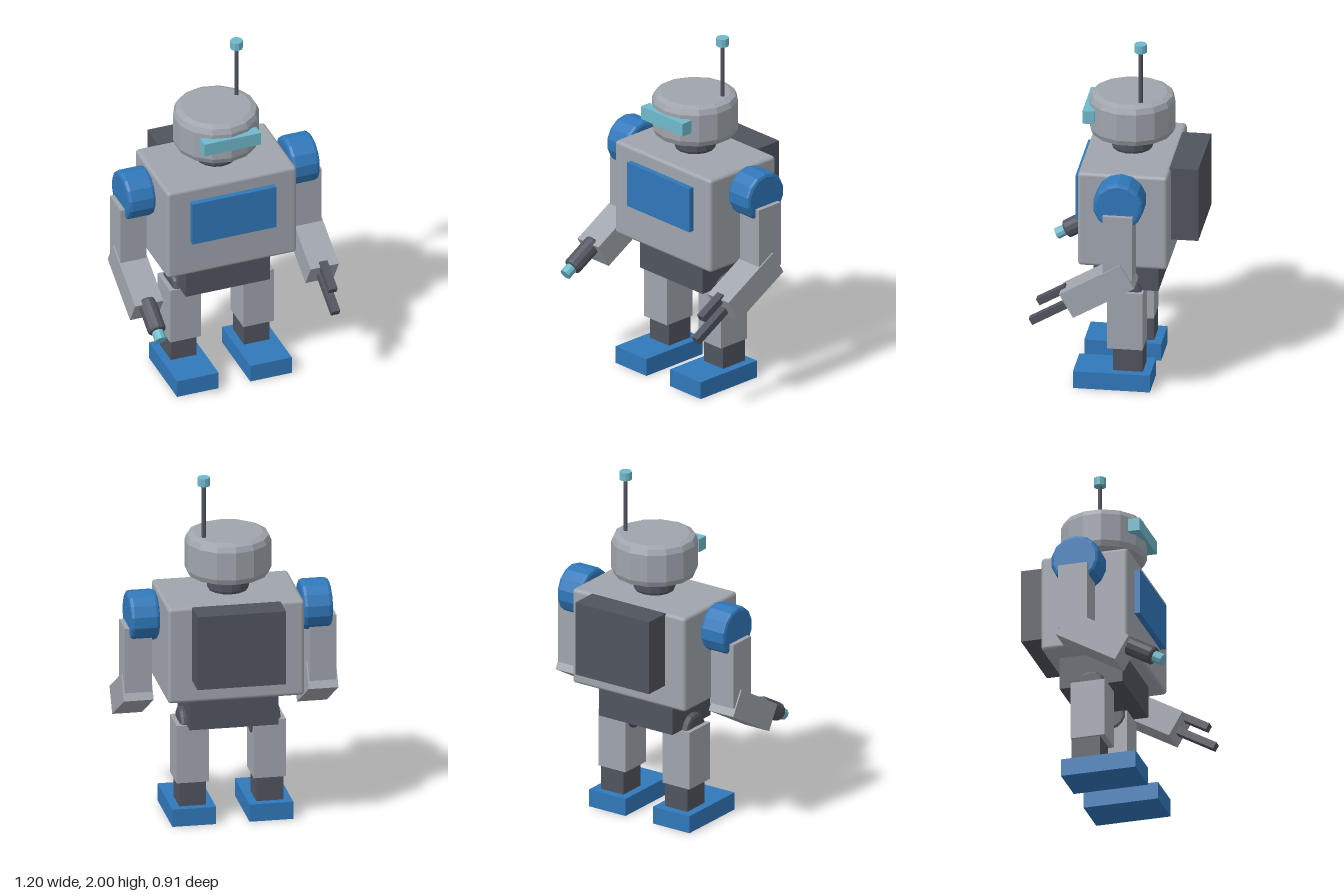
import * as THREE from 'three';
import { RoundedBoxGeometry } from 'three/addons/geometries/RoundedBoxGeometry.js';

const material = (name, color) => {
  const m = new THREE.MeshStandardMaterial({ color });
  m.name = name;
  return m;
};

export function createModel() {
  const robot = new THREE.Group();
  robot.name = 'robot';
  const grey = material('light grey', 0xa0a5ad);
  const dark = material('dark grey', 0x50545e);
  const blue = material('blue', 0x3078ba);
  const cyan = material('cyan', 0x6fb9cb);

  const add = (parent, name, geometry, mat) => {
    const mesh = new THREE.Mesh(geometry, mat);
    mesh.name = name;
    parent.add(mesh);
    return mesh;
  };

  // Box given by its extents on each axis, optionally with bevelled edges
  const box = (parent, name, mat, [x0, x1], [y0, y1], [z0, z1], bevel = 0) => {
    const w = x1 - x0, h = y1 - y0, d = z1 - z0;
    const g = bevel ? new RoundedBoxGeometry(w, h, d, 2, bevel) : new THREE.BoxGeometry(w, h, d);
    const mesh = add(parent, name, g, mat);
    mesh.position.set((x0 + x1) / 2, (y0 + y1) / 2, (z0 + z1) / 2);
    return mesh;
  };

  // Faceted upright cylinder with a two-step bevel on both rims
  const drum = (r, h, sides, b) => {
    const rim = [[r - b, h / 2], [r - b * 0.3, h / 2 - b * 0.3], [r, h / 2 - b]];
    const pts = [[0, -h / 2], ...rim.map(([x, y]) => [x, -y]), ...rim.reverse(), [0, h / 2]];
    const g = new THREE.LatheGeometry(pts.map(p => new THREE.Vector2(...p)), sides).toNonIndexed();
    g.computeVertexNormals();
    return g;
  };

  const midZ = -0.055;

  // Body
  box(robot, 'torso', grey, [-0.38, 0.38], [0.755, 1.31], [-0.303, 0.193], 0.02);
  box(robot, 'chestPanel', blue, [-0.247, 0.247], [0.97, 1.23], [0.17, 0.225]);
  box(robot, 'backpack', dark, [-0.247, 0.247], [0.885, 1.31], [-0.455, -0.295]);
  box(robot, 'pelvis', dark, [-0.247, 0.247], [0.57, 0.77], [-0.235, 0.125]);

  // Head
  add(robot, 'neck', drum(0.115, 0.1, 14, 0.02), dark).position.set(0, 1.365, midZ);
  add(robot, 'head', drum(0.238, 0.245, 14, 0.044), grey).position.set(0, 1.5275, midZ);
  box(robot, 'visor', cyan, [-0.165, 0.165], [1.51, 1.585], [0.132, 0.198]);
  add(robot, 'antenna', new THREE.CylinderGeometry(0.012, 0.012, 0.33, 10), dark)
    .position.set(0.147, 1.79, -0.122);
  add(robot, 'antennaTip', drum(0.035, 0.048, 10, 0.001), cyan).position.set(0.147, 1.976, -0.122);

  for (const s of [-1, 1]) {
    const side = s > 0 ? 'left' : 'right';
    const span = (a, b) => (s > 0 ? [a, b] : [-b, -a]);

    // Leg
    const leg = new THREE.Group();
    leg.name = side + 'Leg';
    robot.add(leg);
    add(leg, 'hipJoint', drum(0.092, 0.16, 14, 0.02).rotateX(-Math.PI / 2).rotateY(Math.PI / 2), dark)
      .position.set(s * 0.2, 0.553, midZ);
    box(leg, 'thigh', grey, span(0.125, 0.305), [0.235, 0.57], [-0.155, 0.04]);
    box(leg, 'shin', dark, span(0.14, 0.29), [0.09, 0.25], [-0.154, 0.01]);
    box(leg, 'foot', blue, span(0.093, 0.337), [0, 0.1], [-0.2, 0.225]);

    // Arm
    const arm = new THREE.Group();
    arm.name = side + 'Arm';
    robot.add(arm);
    add(arm, 'shoulder', drum(0.14, 0.163, 14, 0.02).rotateX(-Math.PI / 2).rotateY(Math.PI / 2), blue)
      .position.set(s * 0.482, 1.197, midZ);
    box(arm, 'upperArm', grey, span(0.44, 0.59), [0.775, 1.15], [-0.14, 0.025]);

    // Bent forearm; local +z runs from the wrist out along the hand
    const fore = new THREE.Group();
    fore.name = side + 'Forearm';
    fore.position.set(s * 0.515, 0.605, 0.225);
    fore.rotation.x = Math.PI / 6;
    arm.add(fore);
    box(fore, 'forearm', grey, [-0.083, 0.083], [-0.078, 0.078], [-0.39, 0]);

    if (s > 0) {
      // Two-fingered gripper
      box(fore, 'upperFinger', dark, [-0.025, 0.023], [0.05, 0.09], [-0.03, 0.15]);
      box(fore, 'lowerFinger', dark, [-0.025, 0.023], [-0.034, 0.006], [-0.03, 0.245]);
    } else {
      // Barrel hand with glowing nozzle
      add(fore, 'barrel', drum(0.052, 0.2, 12, 0.015).rotateX(Math.PI / 2), dark)
        .position.set(0, 0.046, 0.062);
      add(fore, 'nozzle', drum(0.033, 0.08, 10, 0.001).rotateX(Math.PI / 2), cyan)
        .position.set(0, 0.046, 0.178);
    }
  }
  return robot;
}
